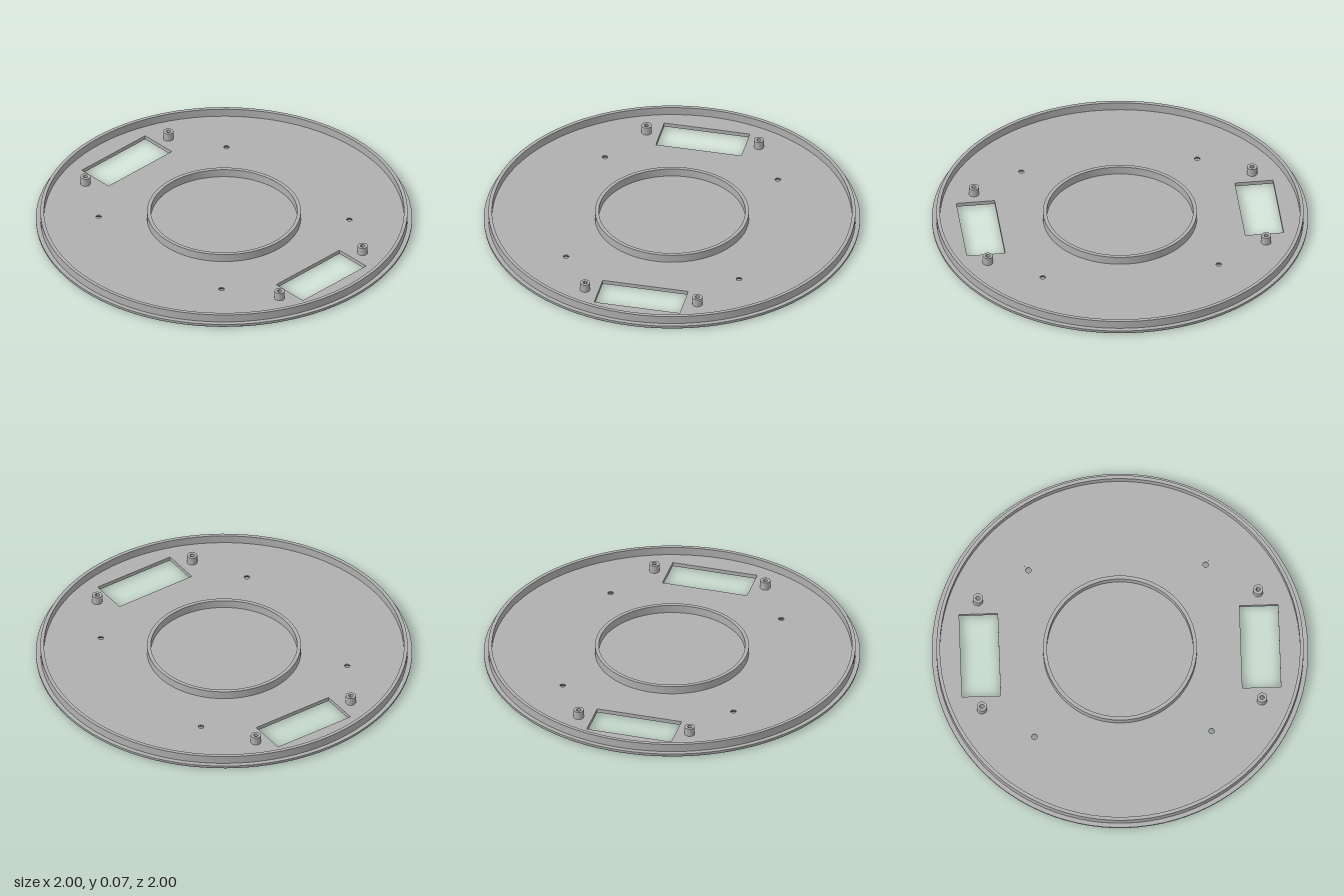
import * as THREE from 'three';
import { toCreasedNormals } from 'three/addons/utils/BufferGeometryUtils.js';

const FLOOR = 0.022, TOP = 0.067, CREASE = 0.5;

export function createModel() {
  const group = new THREE.Group();
  group.name = 'roundCoverPlate';
  const grey = new THREE.MeshStandardMaterial({ color: 0xb0b0b0 });
  grey.name = 'plainGrey';

  const add = (name, geometry, x = 0, z = 0) => {
    const mesh = new THREE.Mesh(toCreasedNormals(geometry, CREASE), grey);
    mesh.name = name;
    mesh.position.set(x, 0, z);
    group.add(mesh);
  };
  const lathe = (points, segments) =>
    new THREE.LatheGeometry(points.map(([r, y]) => new THREE.Vector2(r, y)), segments);
  const circle = (path, x, y, r) => path.absarc(x, y, r, 0, Math.PI * 2, false);
  // Calls fn for each of the four mirrored corners
  const corners = (x, z, fn) => {
    for (const sx of [-1, 1]) for (const sz of [-1, 1]) fn(x * sx, z * sz);
  };

  // Floor disc with two windows, screw holes and boss holes
  const shape = new THREE.Shape();
  circle(shape, 0, 0, 0.985);
  const drill = (r) => (x, z) => shape.holes.push(circle(new THREE.Path(), x, z, r));
  corners(0.471, 0.471, drill(0.03));
  corners(0.745, 0.306, drill(0.012));
  for (const s of [-1, 1]) {
    const a = s * 0.643, b = s * 0.848, d = 0.233;
    shape.holes.push(new THREE.Path(
      [[a, -d], [b, -d], [b, d], [a, d]].map(([x, y]) => new THREE.Vector2(x, y))));
  }
  const floor = new THREE.ExtrudeGeometry(shape, { depth: FLOOR, bevelEnabled: false, curveSegments: 96 });
  floor.rotateX(-Math.PI / 2);
  add('floorDisc', floor);

  // Rounded lip with the raised outer wall
  const lip = [];
  for (let i = 0; i <= 5; i++) {
    const a = (i / 5) * Math.PI / 2;
    lip.push([0.985 + 0.015 * Math.sin(a), 0.015 - 0.015 * Math.cos(a)]);
  }
  add('outerRim', lathe([...lip, [1, FLOOR], [0.976, FLOOR], [0.976, TOP],
    [0.957, TOP], [0.957, FLOOR]], 96));

  // Raised ring in the middle
  add('centreRing', lathe([[0.409, FLOOR], [0.409, TOP], [0.389, TOP], [0.389, FLOOR]], 96));

  // Hollow bosses beside the windows
  corners(0.745, 0.306, (x, z) => add('screwBoss',
    lathe([[0.027, FLOOR], [0.027, TOP], [0.012, TOP], [0.012, FLOOR]], 32), x, z));

  // Countersunk seats opening underneath
  corners(0.471, 0.471, (x, z) => add('countersink',
    lathe([[0.03, FLOOR], [0.015, FLOOR], [0.015, 0.016], [0.03, 0]], 96), x, z));

  return group;
}
